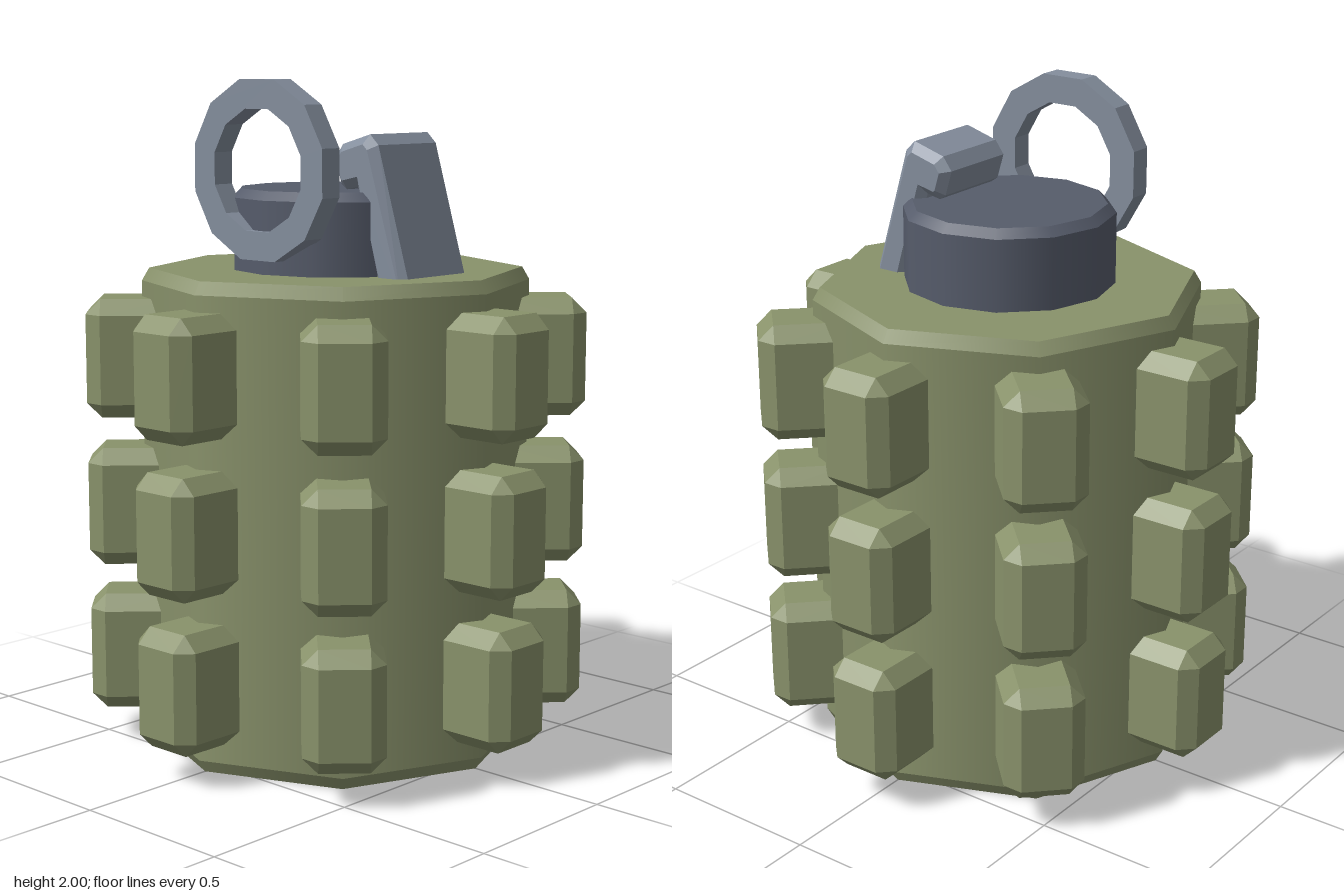
import * as THREE from 'three';
import { ConvexGeometry } from 'three/addons/geometries/ConvexGeometry.js';

const material = (name, color) => {
  const m = new THREE.MeshStandardMaterial({ color });
  m.name = name;
  return m;
};

// Box with every edge cut at 45 degrees
function chamferedBox(w, h, d, c) {
  const points = [];
  for (const x of [-1, 1]) for (const y of [-1, 1]) for (const z of [-1, 1]) {
    for (let full = 0; full < 3; full++) {
      const cut = [0, 1, 2].map((i) => (i === full ? 0 : c));
      points.push(new THREE.Vector3(x * (w / 2 - cut[0]), y * (h / 2 - cut[1]), z * (d / 2 - cut[2])));
    }
  }
  return new ConvexGeometry(points);
}

// Upright smooth-sided drum with a narrow bevel at both ends
function bevelledDrum(name, radius, y0, y1, inset, bevel, sides, mat) {
  const group = new THREE.Group();
  group.name = name;
  const band = (part, top, bottom, low, high) => {
    const mesh = new THREE.Mesh(new THREE.CylinderGeometry(top, bottom, high - low, sides, 1, true), mat);
    mesh.position.y = (low + high) / 2;
    mesh.name = name + part;
    group.add(mesh);
  };
  band('LowerBevel', radius, radius - inset, y0, y0 + bevel);
  band('Side', radius, radius, y0 + bevel, y1 - bevel);
  band('UpperBevel', radius - inset, radius, y1 - bevel, y1);
  for (const [part, y, turn] of [['Top', y1, -1], ['Bottom', y0, 1]]) {
    const cap = new THREE.Mesh(new THREE.CircleGeometry(radius - inset, sides), mat);
    cap.rotation.x = turn * Math.PI / 2;
    cap.position.y = y;
    cap.name = name + part;
    group.add(cap);
  }
  return group;
}

// Regular polygon points with flat sides at top and bottom
const polygon = (radius, sides) => Array.from({ length: sides }, (_, i) => {
  const a = (i + 0.5) / sides * Math.PI * 2;
  return new THREE.Vector2(radius * Math.cos(a), radius * Math.sin(a));
});

export function createModel() {
  const olive = material('olive', 0x89926b);
  const darkSteel = material('dark steel', 0x565c6b);
  const lightSteel = material('light steel', 0x848e9d);
  const model = new THREE.Group();
  model.name = 'grenade';

  // Octagonal body and twelve-sided neck
  model.add(bevelledDrum('body', 0.583, 0, 1.44, 0.022, 0.038, 8, olive));
  model.add(bevelledDrum('neck', 0.315, 1.38, 1.68, 0.026, 0.026, 12, darkSteel));

  // Three rows of eight lugs
  const lugGeometry = chamferedBox(0.236, 0.357, 0.3, 0.045);
  const lugs = new THREE.Group();
  lugs.name = 'lugs';
  for (const y of [0.275, 0.725, 1.175]) {
    for (let i = 0; i < 8; i++) {
      const a = i * Math.PI / 4;
      const lug = new THREE.Mesh(lugGeometry, olive);
      lug.name = 'lug';
      lug.position.set(Math.sin(a) * 0.598, y, Math.cos(a) * 0.598);
      lug.rotation.y = a;
      lugs.add(lug);
    }
  }
  model.add(lugs);

  // Flat pull ring in front of the neck
  const ringShape = new THREE.Shape(polygon(0.268, 12));
  ringShape.holes.push(new THREE.Path(polygon(0.181, 12)));
  const ring = new THREE.Mesh(
    new THREE.ExtrudeGeometry(ringShape, { depth: 0.07, bevelEnabled: false }), lightSteel);
  ring.name = 'pullRing';
  ring.position.set(0, 1.741, 0.263);
  model.add(ring);

  // Leaning safety lever, hooked inward over the neck
  const leverProfile = [
    [0.42, 1.36], [0.282, 1.815], [0.25, 1.845], [0.145, 1.815],
    [0.115, 1.775], [0.138, 1.7], [0.16, 1.685], [0.205, 1.695], [0.305, 1.36],
  ].map(([x, y]) => new THREE.Vector2(x, y));
  const lever = new THREE.Mesh(new THREE.ExtrudeGeometry(new THREE.Shape(leverProfile), {
    depth: 0.25, bevelThickness: 0.025, bevelSize: 0.025, bevelOffset: -0.025, bevelSegments: 1,
  }), lightSteel);
  lever.name = 'safetyLever';
  lever.position.z = -0.125;
  model.add(lever);

  return model;
}
